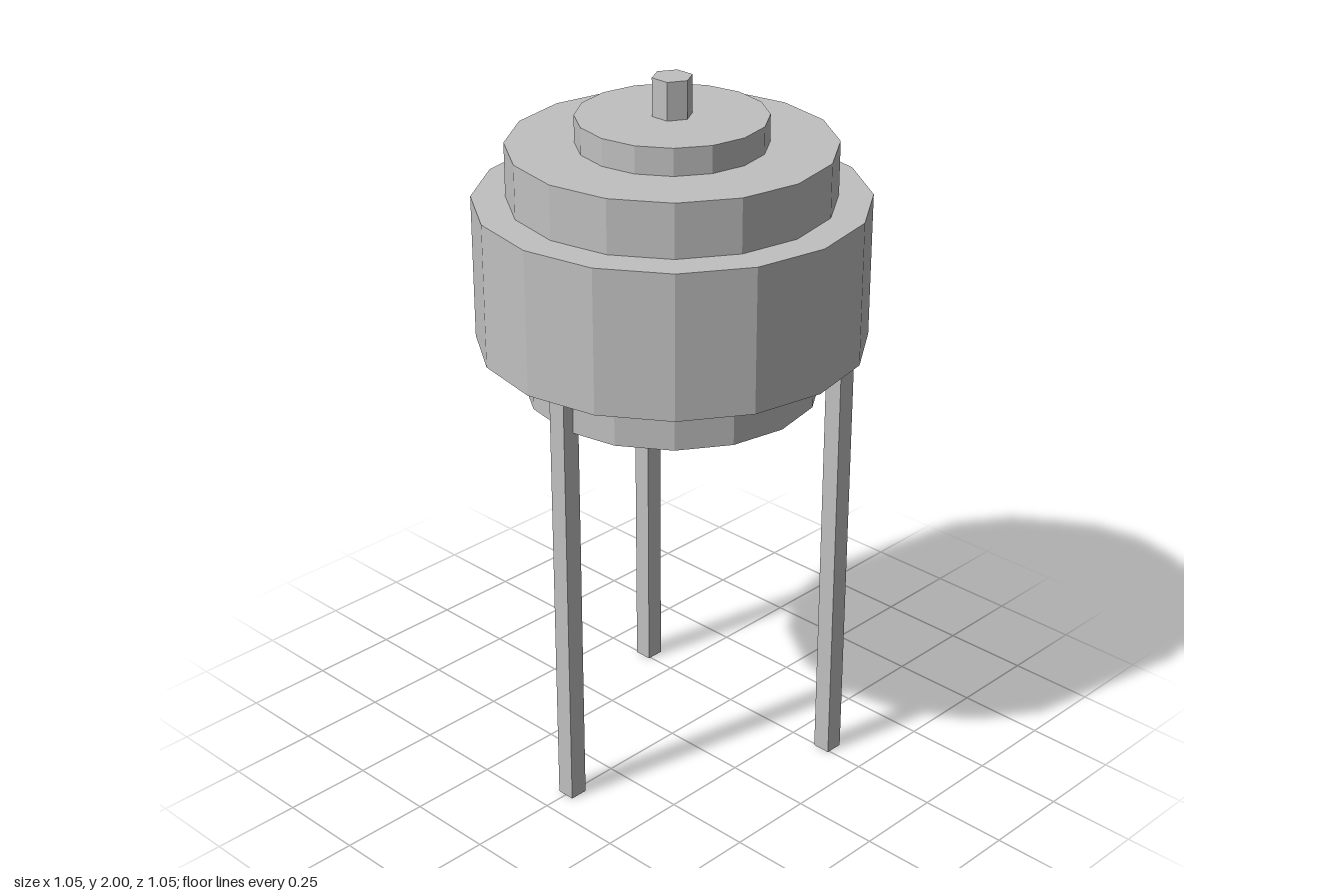
import * as THREE from 'three';

export function createModel() {
  const group = new THREE.Group();
  const grey = new THREE.MeshStandardMaterial({ color: 0xc0c0c0 });
  grey.name = 'grey';

  const add = (name, geometry, x, y, z) => {
    // unshared corners with face normals keep every facet flat
    const flat = geometry.toNonIndexed();
    flat.computeVertexNormals();
    const mesh = new THREE.Mesh(flat, grey);
    mesh.name = name;
    mesh.position.set(x, y, z);
    group.add(mesh);
    return mesh;
  };

  // Stacked drums: name, radius, bottom, top, sides
  const tiers = [
    ['lowerRing', 0.4, 1.133, 1.278, 16],
    ['mainDrum', 0.526, 1.278, 1.676, 16],
    ['upperDrum', 0.435, 1.676, 1.823, 16],
    ['cap', 0.253, 1.823, 1.897, 16],
    ['topKnob', 0.054, 1.897, 2, 6],
  ];
  for (const [name, r, y0, y1, sides] of tiers) {
    const geometry = new THREE.CylinderGeometry(r, r, y1 - y0, sides);
    geometry.rotateY(Math.PI / 2); // puts the knob's corners on the x axis
    add(name, geometry, 0, (y0 + y1) / 2, 0);
  }

  // Three square legs, one in front and two behind
  const legHeight = 1.238;
  const legs = [['frontLeg', 0, 0.402], ['backLeftLeg', 0.363, -0.27], ['backRightLeg', -0.363, -0.27]];
  for (const [name, x, z] of legs) {
    add(name, new THREE.BoxGeometry(0.052, legHeight, 0.052), x, legHeight / 2, z);
  }

  return group;
}
